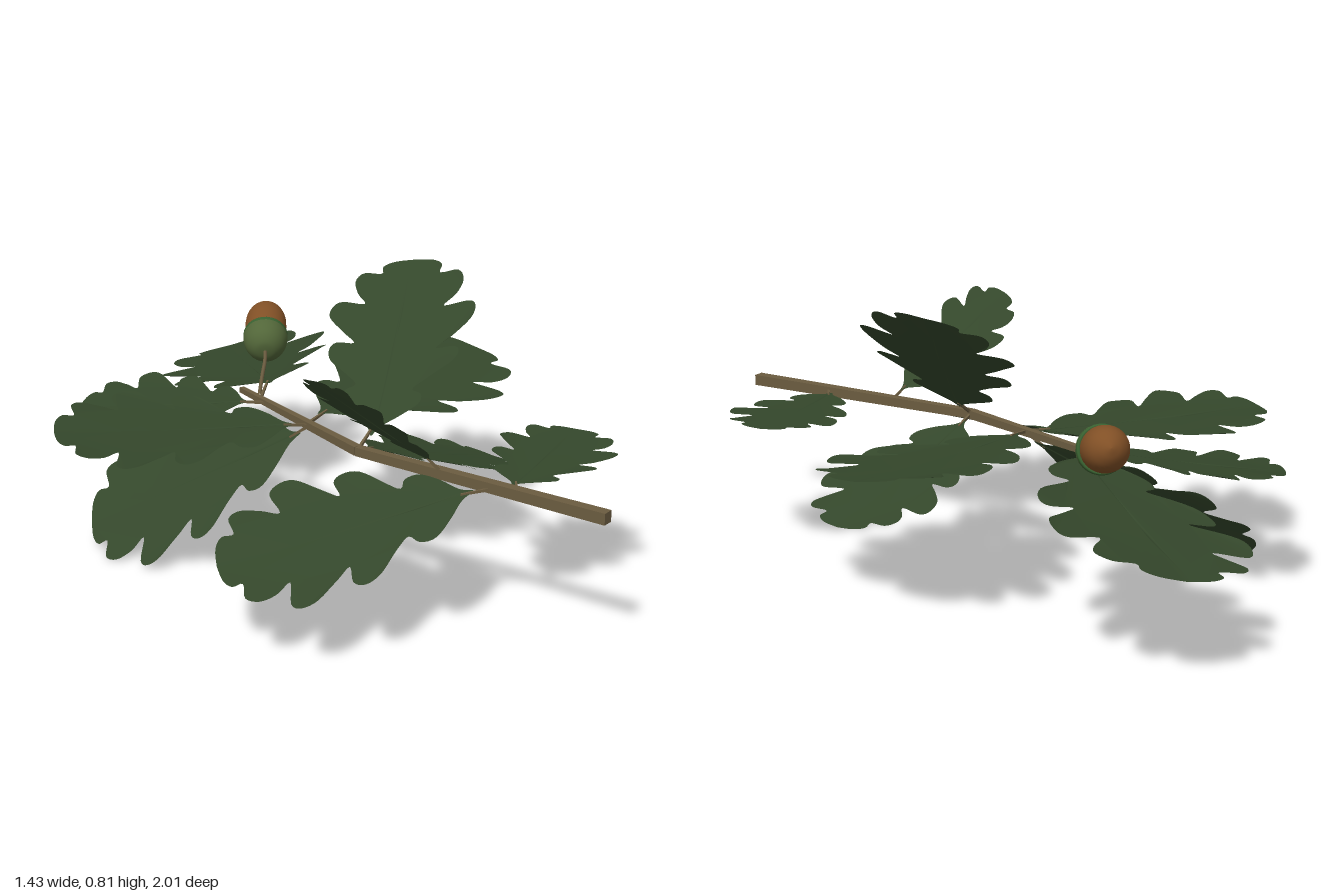
import * as THREE from 'three';
import { mergeGeometries, mergeVertices } from 'three/addons/utils/BufferGeometryUtils.js';

const mat = (name, color, side = THREE.FrontSide) => {
  const m = new THREE.MeshStandardMaterial({ color, side });
  m.name = name;
  return m;
};
const V = (a) => new THREE.Vector3(...a);

// Half of a lobed leaf outline: [along midrib, out from midrib], unit length
const LOBES = [
  [0, 0.004], [0.05, 0.03], [0.11, 0.1], [0.18, 0.16], [0.24, 0.16], [0.27, 0.12],
  [0.32, 0.165], [0.4, 0.25], [0.47, 0.275], [0.51, 0.25], [0.505, 0.175],
  [0.57, 0.235], [0.65, 0.3], [0.72, 0.305], [0.755, 0.27], [0.735, 0.17],
  [0.8, 0.21], [0.87, 0.23], [0.92, 0.2], [0.915, 0.125],
  [0.96, 0.125], [0.99, 0.08], [1, 0.0],
];

function halfLeaf(side) {
  const shift = (u) => u + side * 0.025 * Math.sin(Math.PI * u);
  const curve = new THREE.SplineCurve(
    LOBES.map(([u, v]) => new THREE.Vector2(shift(u), side * v)));
  const pts = curve.getPoints(88);
  for (let i = 9; i >= 0; i--) pts.push(new THREE.Vector2(i / 10, 0));
  return new THREE.ShapeGeometry(new THREE.Shape(pts));
}

// Whole leaf with a shallow fold at the midrib, a slight sag and a wavy margin
function leafGeometry() {
  let g = mergeGeometries([halfLeaf(1), halfLeaf(-1)]);
  g.deleteAttribute('uv');
  g = mergeVertices(g, 1e-4);
  const p = g.attributes.position;
  for (let i = 0; i < p.count; i++) {
    const u = p.getX(i), v = Math.abs(p.getY(i));
    p.setZ(i, v * (0.05 + 0.03 * Math.sin(u * 22)) - 0.05 * u * (1 - u));
  }
  g.computeVertexNormals();
  return g;
}

// Square tapered bar between two points
function bar(name, a, b, ra, rb, material) {
  const d = b.clone().sub(a);
  const g = new THREE.CylinderGeometry(rb, ra, d.length(), 4).rotateY(Math.PI / 4).toNonIndexed();
  g.computeVertexNormals();
  const m = new THREE.Mesh(g, material);
  m.name = name;
  // Keep two faces level
  const y = d.normalize();
  const x = new THREE.Vector3().crossVectors(y, new THREE.Vector3(0, 1, 0)).normalize();
  const z = new THREE.Vector3().crossVectors(x, y);
  m.quaternion.setFromRotationMatrix(new THREE.Matrix4().makeBasis(x, y, z));
  m.position.copy(a).add(b).multiplyScalar(0.5);
  return m;
}

export function createModel() {
  const model = new THREE.Group();
  model.name = 'oakTwig';
  const leafGreen = mat('leaf green', 0x34472b, THREE.DoubleSide);
  const bark = mat('bark brown', 0x6b5c40);
  const cupGreen = mat('cup green', 0x526639);
  const rimGreen = mat('rim green', 0x386030);
  const nutBrown = mat('nut brown', 0x815026);

  // Twig in two straight lengths
  const knee = V([-0.1, 0.388, 0.22]);
  model.add(bar('lowerTwig', V([0.035, 0.388, 1]), knee, 0.023, 0.018, bark));
  model.add(bar('upperTwig', knee, V([0, 0.388, -0.39]), 0.018, 0.011, bark));

  // Leaves: [twig joint, blade base, blade tip, upper normal, width factor]
  const leaves = [
    [[-0.01, 0.39, 0.73], [0.015, 0.392, 0.69], [0.45, 0.4, 0.54], [0, 1, 0], 1.24],
    [[-0.055, 0.39, 0.5], [-0.07, 0.42, 0.48], [-0.39, 0.69, 0.34], [0.64, 0.77, 0], 1.17],
    [[-0.02, 0.388, 0.67], [-0.06, 0.375, 0.62], [-0.62, 0.2, 0.23], [-0.3, 0.95, 0.04], 1.28],
    [[-0.06, 0.39, -0.03], [0, 0.4, -0.05], [0.71, 0.435, -0.1], [-0.04, 1, 0.13], 1.28],
    [[-0.1, 0.39, 0.22], [-0.05, 0.42, 0.22], [0.365, 0.795, -0.03], [-0.69, 0.7, 0.16], 1.22],
    [[0, 0.39, -0.3], [0.06, 0.41, -0.33], [0.44, 0.295, -0.965], [-0.1, 0.97, -0.23], 1.2],
    [[-0.1, 0.388, 0.22], [-0.05, 0.38, 0.2], [0.51, 0.2, 0.17], [0.33, 0.94, 0], 1.18],
    [[-0.06, 0.388, -0.02], [-0.09, 0.39, -0.05], [-0.665, 0.41, -0.42], [0, 1, 0.04], 1.35],
    [[-0.025, 0.388, -0.25], [-0.05, 0.385, -0.3], [-0.36, 0.335, -0.72], [-0.14, 0.99, 0], 1.35],
    [[-0.06, 0.388, -0.02], [-0.07, 0.36, -0.05], [-0.455, 0.04, -0.55], [-0.64, 0.77, 0.03], 1.15],
  ];
  const blade = leafGeometry();
  leaves.forEach(([joint, base, tip, normal, width]) => {
    const leaf = new THREE.Group();
    leaf.name = 'leaf';
    const a = V(base), x = V(tip).sub(a);
    const len = x.length();
    x.normalize();
    const y = new THREE.Vector3().crossVectors(V(normal), x).normalize();
    const z = new THREE.Vector3().crossVectors(x, y);
    const m = new THREE.Mesh(blade, leafGreen);
    m.name = 'leafBlade';
    m.quaternion.setFromRotationMatrix(new THREE.Matrix4().makeBasis(x, y, z));
    m.position.copy(a);
    m.scale.set(len, len * width, len);
    const end = a.clone().addScaledVector(x, len * 0.05);
    leaf.add(m, bar('leafStalk', V(joint), end, 0.006, 0.004, bark));
    model.add(leaf);
  });

  // Acorn, turned about its own axis
  const acorn = new THREE.Group();
  acorn.name = 'acorn';
  const lathe = (name, pts, material) => {
    const m = new THREE.Mesh(
      new THREE.LatheGeometry(new THREE.SplineCurve(pts.map((p) => new THREE.Vector2(...p))).getPoints(24), 28), material);
    m.name = name;
    acorn.add(m);
  };
  lathe('acornCup', [[0, 0], [0.03, 0.005], [0.054, 0.025], [0.066, 0.054], [0.068, 0.078]], cupGreen);
  lathe('cupRim', [[0.068, 0.078], [0.068, 0.09], [0.064, 0.095], [0.056, 0.093]], rimGreen);
  lathe('acornNut', [[0.058, 0.08], [0.063, 0.12], [0.062, 0.165], [0.052, 0.2], [0.033, 0.224], [0.013, 0.236], [0, 0.24]], nutBrown);
  const axis = V([0.64, 0.3, -0.7]).normalize();
  acorn.quaternion.setFromUnitVectors(new THREE.Vector3(0, 1, 0), axis);
  acorn.position.set(0.143, 0.46, -0.447);
  model.add(acorn);

  // Acorn stalk
  const path = new THREE.CatmullRomCurve3([
    V([0, 0.39, -0.31]), V([0.06, 0.425, -0.365]), V([0.11, 0.448, -0.41]),
    acorn.position.clone().addScaledVector(axis, 0.01)]);
  const stalk = new THREE.Mesh(new THREE.TubeGeometry(path, 12, 0.006, 6), bark);
  stalk.name = 'acornStalk';
  model.add(stalk);
  return model;
}
